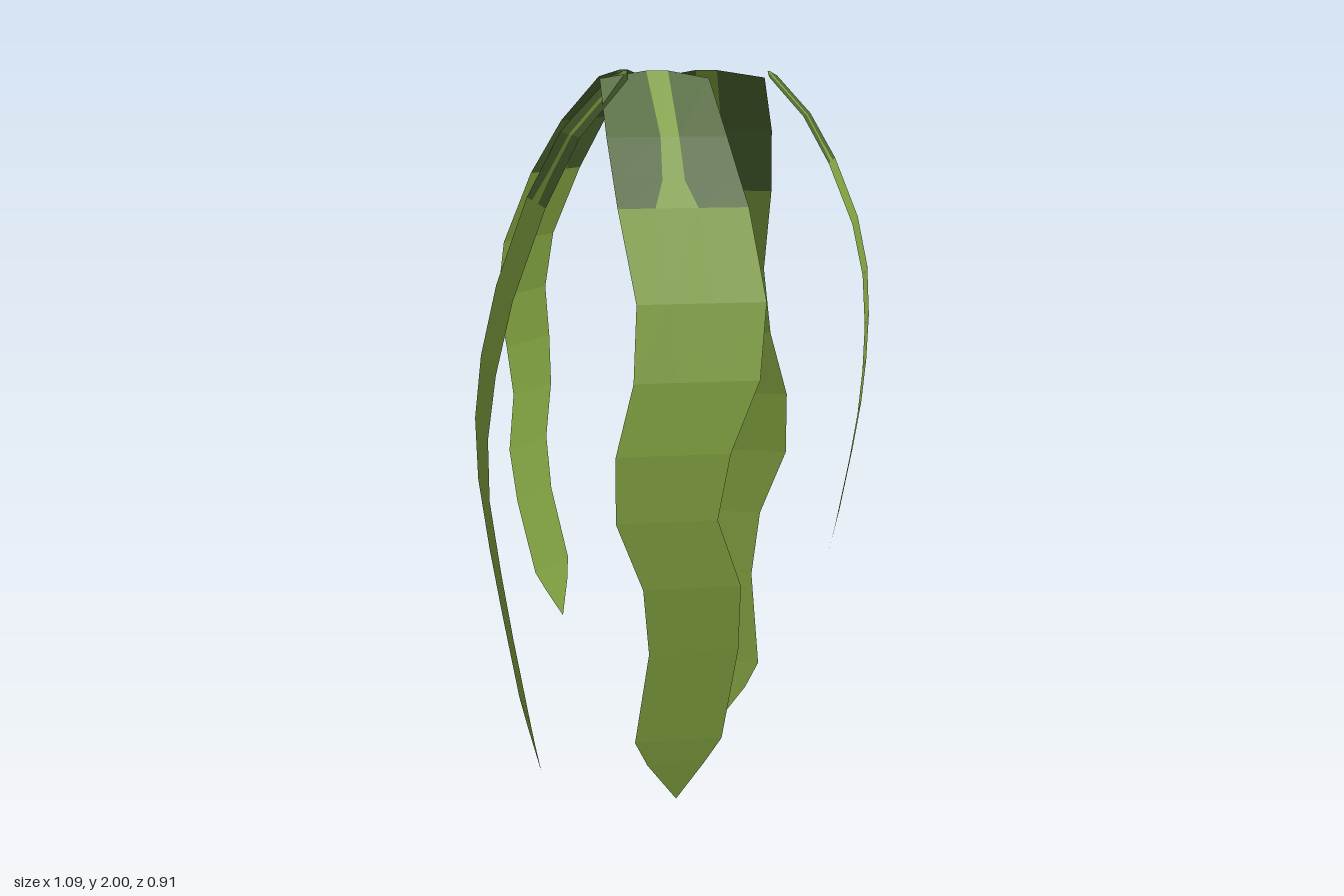
import * as THREE from 'three';

// Rows from the top down: y, z, then x of left edge, two rib edges, right edge
const ROWS = [
  [2.0, 0.035, -0.2, -0.07, -0.01, 0.1],
  [1.83, 0.19, -0.2, -0.055, -0.005, 0.125],
  [1.72, 0.251, -0.191, -0.06, 0.0, 0.149],
  [1.65, 0.29, -0.185, -0.085, 0.03, 0.165],
  [1.41, 0.385, -0.15, -0.06, 0.05, 0.195],
  [1.21, 0.43, -0.165, -0.05, 0.05, 0.17],
  [1.02, 0.445, -0.215, -0.1, 0.0, 0.09],
  [0.84, 0.44, -0.215, -0.11, -0.03, 0.057],
  [0.65, 0.42, -0.14, -0.05, 0.03, 0.125],
  [0.46, 0.39, -0.12, -0.04, 0.04, 0.125],
  [0.19, 0.34, -0.152, -0.06, 0.0, 0.09],
  [0.115, 0.323, -0.115, -0.05, -0.01, 0.045],
  [0.0, 0.295, -0.03, -0.03, -0.03, -0.03],
];
const PIVOT = [-0.05, 2, 0.035];
const PATCH_ROWS = 3; // quad rows that carry the dark patches

function point(i, j) {
  const row = ROWS[i];
  // the upper end is cut slightly round
  const drop = i === 0 && (j === 0 || j === 3) ? 0.02 : 0;
  return [row[2 + j] - PIVOT[0], row[0] - drop - PIVOT[1], row[1] + drop - PIVOT[2]];
}

function surface(wanted) {
  const pos = [];
  for (let i = 0; i < ROWS.length - 1; i++) {
    for (let j = 0; j < 3; j++) {
      if (!wanted(i, j)) continue;
      const a = point(i, j), b = point(i, j + 1);
      const c = point(i + 1, j), d = point(i + 1, j + 1);
      pos.push(...a, ...c, ...b);
      if (i < ROWS.length - 2) pos.push(...b, ...c, ...d);
    }
  }
  const g = new THREE.BufferGeometry();
  g.setAttribute('position', new THREE.Float32BufferAttribute(pos, 3));
  g.computeVertexNormals();
  return g;
}

export function createModel() {
  const model = new THREE.Group();
  model.name = 'hangingLeaves';

  const material = (name, color) => {
    const m = new THREE.MeshStandardMaterial({ color, side: THREE.DoubleSide, flatShading: true });
    m.name = name;
    return m;
  };
  const leafGreen = material('leafGreen', 0x82a341);
  const darkGreen = material('darkGreen', 0x4e6831);

  const isPatch = (i, j) => i < PATCH_ROWS && j !== 1;
  const bladeGeo = surface((i, j) => !isPatch(i, j));
  const patchGeo = surface(isPatch);

  // Leaves: name, yaw in degrees, scale, x and z of the upper end
  const leaves = [
    ['frontLeaf', 0, 1, -0.05, 0.035],
    ['rightLeaf', -87, 1, -0.125, 0.01],
    ['backLeftLeaf', 158.5, 1, 0.115, -0.015],
    ['backRightLeaf', -125.7, 0.81, -0.105, -0.135],
    ['leftLeaf', 71.6, 0.68, 0.245, 0.143],
  ];
  for (const [name, yaw, scale, x, z] of leaves) {
    const leaf = new THREE.Group();
    leaf.name = name;
    const blade = new THREE.Mesh(bladeGeo, leafGreen);
    blade.name = 'blade';
    const patches = new THREE.Mesh(patchGeo, darkGreen);
    patches.name = 'darkPatches';
    leaf.add(blade, patches);
    leaf.rotation.y = THREE.MathUtils.degToRad(yaw);
    leaf.scale.setScalar(scale);
    leaf.position.set(x, 2, z);
    model.add(leaf);
  }
  return model;
}
